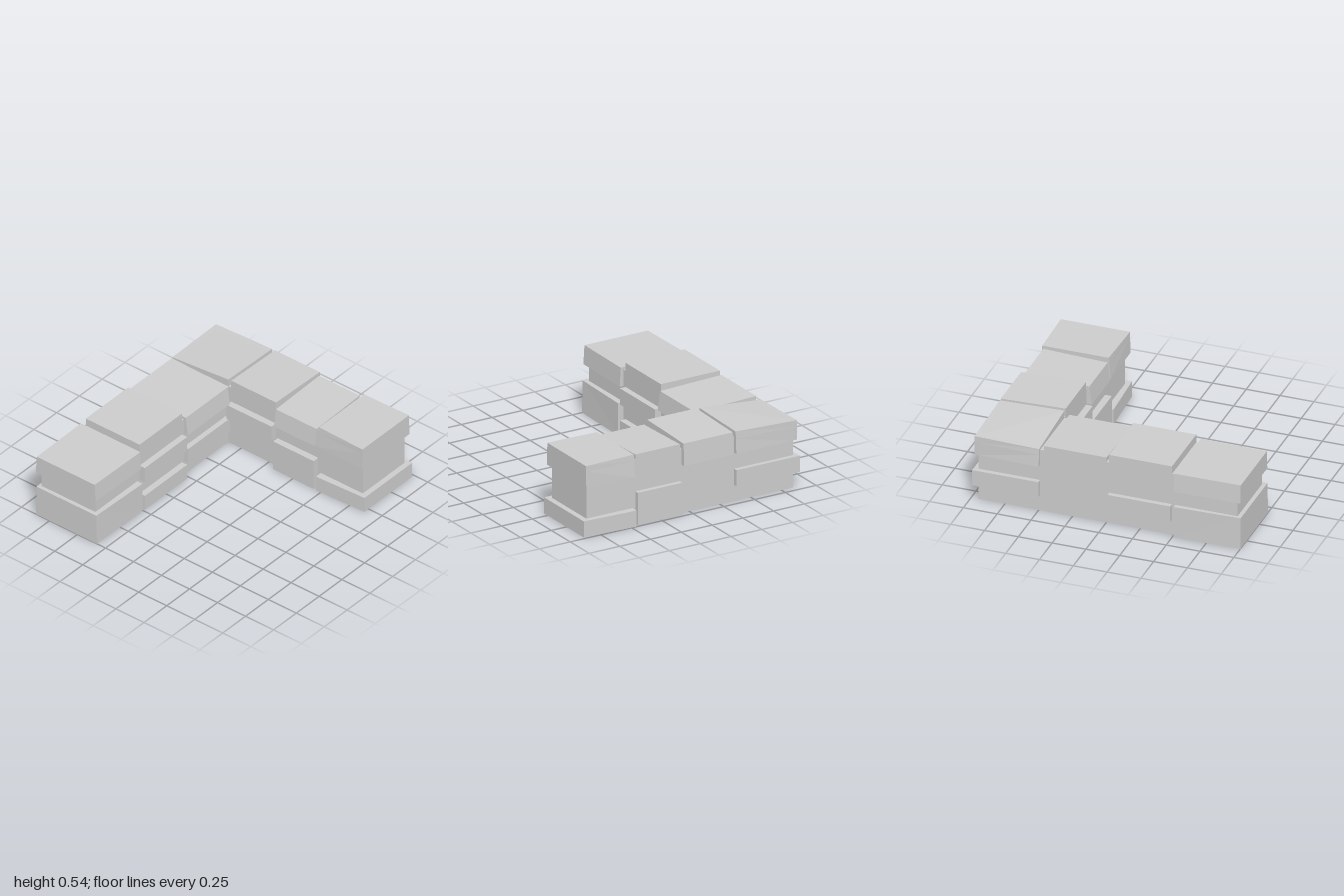
import * as THREE from 'three';

const material = new THREE.MeshStandardMaterial({ color: 0xcccccc, flatShading: true, side: THREE.DoubleSide });
const AXES = ['x', 'y', 'z'];

// Courses of the wall and the bays along each arm
const BASE = [0, 0.12], LOW = [0.12, 0.24], MID = [0.24, 0.36], TALL = [0, 0.24], CAP = 0.36;
const sideBay = [[0.51, 1], [0.02, 0.485], [-0.46, 0]];
const backBay = [[-0.34, 0.06], [0.075, 0.437], [0.46, 0.877]];
const sideX = [-0.845, -0.365];

// Each block: name, x, y and z ranges, and a rule that shifts its corners (s = side, -1 or 1)
const blocks = [
  // Plain core of both arms
  ['sideCore', sideX, [0, 0.48], [-0.945, 0.97]],
  ['backCore', [-0.845, 0.835], [0, 0.48], [-0.945, -0.49]],

  // Facing stones of the side arm and the corner
  ['sideEndBase', [-0.88, -0.318], TALL, sideBay[0], (v, s) => {
    if (s.z > 0) v.x -= s.x * (s.y > 0 ? 0.014 : 0.009);
  }],
  ['sideInnerBase', [-0.4, -0.318], BASE, sideBay[1]],
  ['sideInnerMiddle', [-0.4, -0.318], MID, sideBay[1]],
  ['sideOuterLow', [-0.88, -0.8], LOW, sideBay[1]],
  ['sideInnerLow', [-0.4, -0.325], LOW, sideBay[2]],
  ['cornerLow', [-0.88, -0.365], LOW, [-0.98, -0.49]],

  // Facing stones of the back arm
  ['backInnerMiddle', backBay[0], MID, [-0.55, -0.44]],
  ['backMiddleBase', backBay[1], TALL, [-0.98, -0.44]],
  ['backEndBase', backBay[2], BASE, [-1, -0.436], (v, s) => {
    if (s.x > 0) v.z -= s.z * 0.02;
  }],

  // Cap stones of the side arm
  ['sideEndCap', [-0.878, -0.332], [CAP, 0.5], sideBay[0], (v, s) => {
    if (s.z > 0) v.x -= s.x * 0.006;
    if (s.y > 0) v.x -= s.x * 0.009;
  }],
  ['sideMiddleCap', sideX, [CAP, 0.54], sideBay[1]],
  ['sideInnerCap', [-0.845, -0.328], [CAP, 0.515], sideBay[2], (v, s) => {
    if (s.x > 0 && s.y > 0) { v.x -= 0.018; v.y -= 0.015; }
  }],

  // Corner cap, sloping down to the outside
  ['cornerCap', [-0.878, -0.365], [CAP, 0.538], [-0.978, -0.49], (v, s) => {
    if (s.x < 0 && (s.y > 0 || s.z < 0)) v.x += 0.013;
    if (s.z < 0 && (s.y > 0 || s.x < 0)) v.z += 0.01;
    if (s.y > 0 && s.z < 0) v.y -= 0.013;
    if (s.y > 0 && s.x < 0) v.y -= s.z < 0 ? 0.021 : 0.043;
  }],

  // Cap stones of the back arm
  ['backInnerCap', backBay[0], [CAP, 0.54], [-0.98, -0.49], (v, s) => {
    if (s.y > 0 && s.z < 0) { v.y -= 0.015; v.z += 0.01; }
  }],
  ['backMiddleCap', backBay[1], [CAP, 0.515], [-0.945, -0.453], (v, s) => {
    if (s.y > 0 && s.z > 0) { v.y -= 0.015; v.z -= 0.018; }
  }],
  ['backEndCap', [0.46, 0.855], [CAP, 0.525], [-0.977, -0.458], (v, s) => {
    if (s.y > 0) v.z -= s.z * (s.x > 0 ? 0.004 : 0.014);
  }],
].map(([name, x, y, z, warp = () => {}]) => ({ name, x, y, z, warp }));

const contains = (b, p) => AXES.every((a) => p[a] > b[a][0] && p[a] < b[a][1]);
const touches = (a, b) => AXES.every((k) => a[k][0] <= b[k][1] && b[k][0] <= a[k][1]);

// Moves a point of a block along with its shifted corners
function place(block, p) {
  const out = new THREE.Vector3();
  for (let i = 0; i < 8; i++) {
    const corner = new THREE.Vector3();
    const s = {};
    let weight = 1;
    AXES.forEach((a, k) => {
      const high = (i >> k) & 1;
      const t = (p[a] - block[a][0]) / (block[a][1] - block[a][0]);
      s[a] = high ? 1 : -1;
      corner[a] = block[a][high];
      weight *= high ? t : 1 - t;
    });
    block.warp(corner, s);
    out.addScaledVector(corner, weight);
  }
  return out;
}

// Outer skin of one block: faces buried in other blocks or lying on the ground stay open
function skin(block) {
  const others = blocks.filter((b) => b !== block && touches(b, block));
  const cuts = (a) => {
    const [lo, hi] = block[a];
    const inside = others.flatMap((b) => b[a]).filter((c) => c > lo && c < hi);
    return [...new Set([lo, ...inside, hi])].sort((m, n) => m - n);
  };
  const points = [];
  AXES.forEach((n, k) => {
    const u = AXES[(k + 1) % 3], w = AXES[(k + 2) % 3];
    const us = cuts(u), ws = cuts(w);
    for (const side of [0, 1]) {
      const level = block[n][side];
      if (n === 'y' && level === 0) continue;
      for (let i = 1; i < us.length; i++) {
        for (let j = 1; j < ws.length; j++) {
          const probe = {
            [n]: level + (side ? 0.0005 : -0.0005),
            [u]: (us[i - 1] + us[i]) / 2,
            [w]: (ws[j - 1] + ws[j]) / 2,
          };
          if (others.some((b) => contains(b, probe))) continue;
          const [a, b, c, d] = [[i - 1, j - 1], [i, j - 1], [i, j], [i - 1, j]]
            .map(([m, q]) => place(block, { [n]: level, [u]: us[m], [w]: ws[q] }));
          points.push(...(side ? [a, b, c, a, c, d] : [a, c, b, a, d, c]));
        }
      }
    }
  });
  const geo = new THREE.BufferGeometry().setFromPoints(points);
  geo.computeVertexNormals();
  const mesh = new THREE.Mesh(geo, material);
  mesh.name = block.name;
  return mesh;
}

export function createModel() {
  const wall = new THREE.Group();
  wall.name = 'cornerWall';
  blocks.forEach((block) => wall.add(skin(block)));
  return wall;
}
